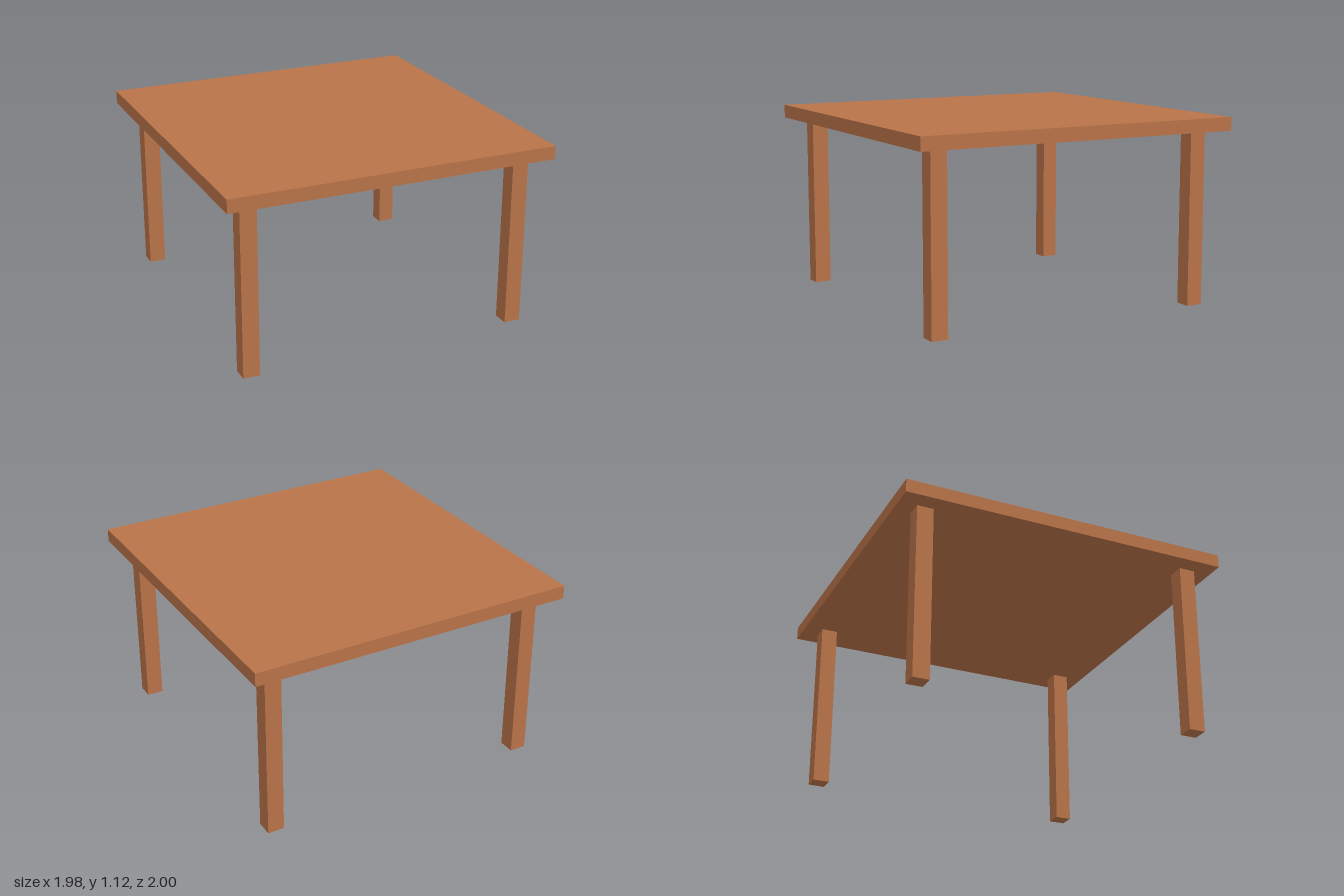
import * as THREE from 'three';

export function createModel() {
  const model = new THREE.Group();
  model.name = 'table';

  const wood = new THREE.MeshStandardMaterial({ color: 0xb87348 });
  wood.name = 'warm wood';

  const height = 1.122, thickness = 0.08;
  const legHeight = height - thickness;

  function addBox(name, size, position) {
    const mesh = new THREE.Mesh(new THREE.BoxGeometry(...size), wood);
    mesh.name = name;
    mesh.position.set(...position);
    model.add(mesh);
  }

  // Flat slab top
  addBox('tableTop', [1.976, thickness, 2], [0, height - thickness / 2, 0]);

  // Four square legs, set in from the corners
  for (const [side, x] of [['Left', 1], ['Right', -1]]) {
    for (const [end, z] of [['front', 1], ['back', -1]]) {
      addBox(`${end}${side}Leg`, [0.099, legHeight, 0.099], [x * 0.832, legHeight / 2, z * 0.843]);
    }
  }

  return model;
}
